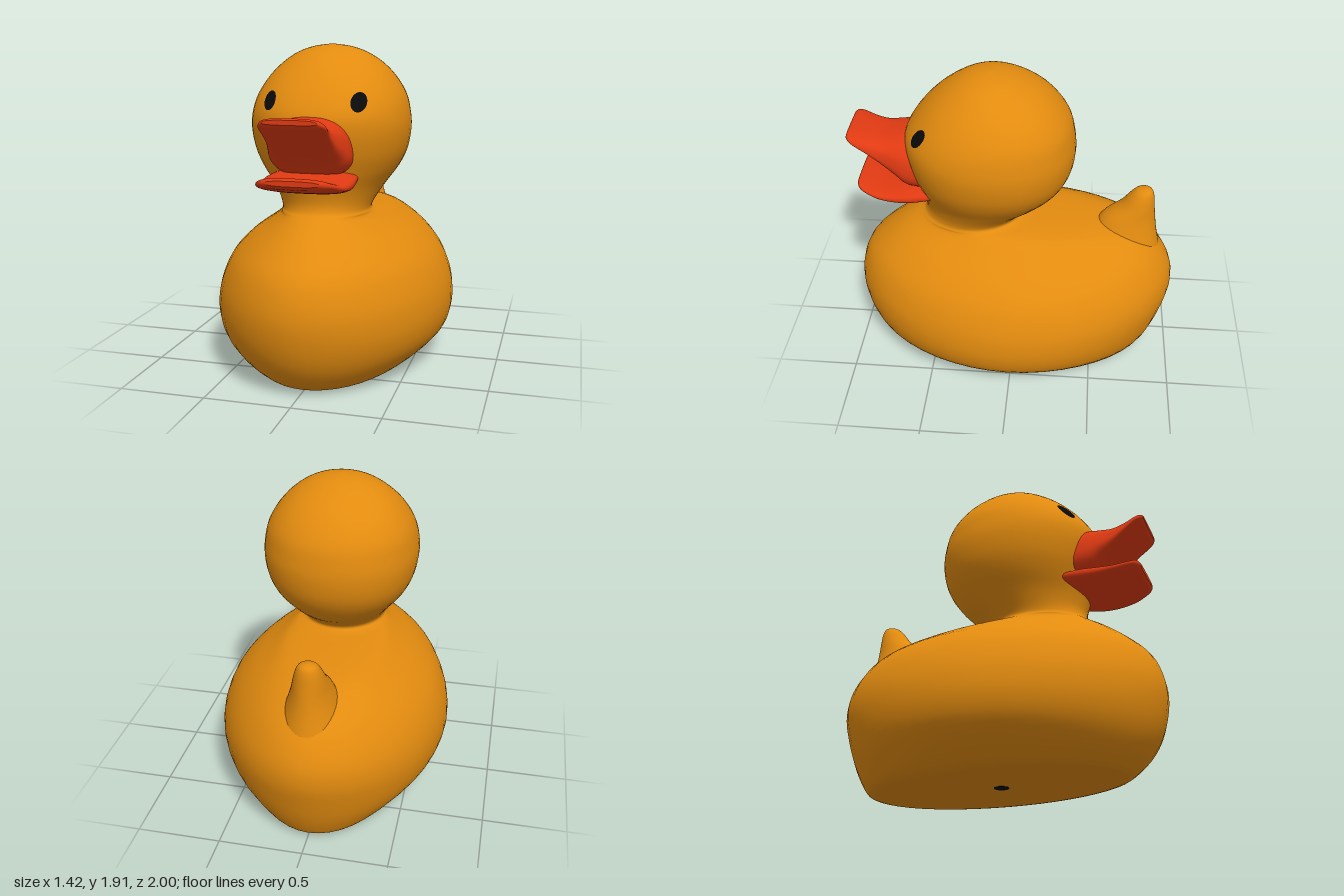
import * as THREE from 'three';

const SIDES = 48;

// Smoothly subdivides a list of section rows.
function smoothRows(rows, steps = 4) {
  const size = rows[0].length;
  const spline = new THREE.CubicInterpolant(rows.map((_, i) => i), rows.flat(), size, new Float32Array(size));
  const out = [];
  for (let i = 0; i <= (rows.length - 1) * steps; i++) out.push(Array.from(spline.evaluate(i / steps)));
  return out;
}

const power = (v, n) => Math.sign(v) * Math.abs(v) ** (2 / n);

// Skins superellipse sections. Row: [level, far side, near side, half width, exponent].
// Levels run along y (sections span z) or along z (sections span y).
function loft(rows, axis = 'y', taper = 0) {
  const pos = [], index = [];
  const put = (x, u, l) => (axis === 'y' ? pos.push(x, l, u) : pos.push(x, u, l));
  const tri = (a, b, c) => (axis === 'y' ? index.push(a, b, c) : index.push(a, c, b));
  const ring = ([l, a, b, w, n]) => {
    for (let i = 0; i < SIDES; i++) {
      const t = (i / SIDES) * Math.PI * 2;
      const s = power(Math.sin(t), n), c = power(Math.cos(t), n);
      put(w * c * (1 - taper * (s + 1) / 2), (a + b) / 2 + (a - b) / 2 * s, l);
    }
  };
  rows.forEach(ring);
  for (let r = 0; r < rows.length - 1; r++) {
    for (let i = 0; i < SIDES; i++) {
      const j = (i + 1) % SIDES, a = r * SIDES, b = a + SIDES;
      tri(a + i, b + i, a + j);
      tri(a + j, b + i, b + j);
    }
  }
  // flat end caps with their own rims
  [rows[0], rows[rows.length - 1]].forEach((row, end) => {
    const start = pos.length / 3;
    ring(row);
    put(0, (row[1] + row[2]) / 2, row[0]);
    for (let i = 0; i < SIDES; i++) {
      const a = start + i, b = start + (i + 1) % SIDES;
      if (end) tri(a, start + SIDES, b);
      else tri(a, b, start + SIDES);
    }
  });
  const g = new THREE.BufferGeometry();
  g.setAttribute('position', new THREE.Float32BufferAttribute(pos, 3));
  g.setIndex(index);
  g.computeVertexNormals();
  return g;
}

// Body, neck and head sections from the base to the crown
const BODY = smoothRows([
  [0, 0.75, -0.8, 0.42, 2],
  [0.02, 0.79, -0.845, 0.48, 2],
  [0.1, 0.88, -0.89, 0.58, 1.95],
  [0.2, 0.945, -0.93, 0.67, 1.9],
  [0.32, 0.985, -0.965, 0.708, 1.9],
  [0.45, 1.0, -0.995, 0.705, 1.9],
  [0.57, 0.98, -0.99, 0.67, 1.9],
  [0.68, 0.93, -0.945, 0.61, 1.9],
  [0.78, 0.83, -0.87, 0.51, 1.95],
  [0.86, 0.73, -0.76, 0.395, 2],
  [0.91, 0.655, -0.58, 0.325, 2],
  [0.935, 0.61, -0.3, 0.285, 2],
  [0.948, 0.585, -0.1, 0.268, 2],
  [0.97, 0.56, -0.045, 0.26, 2],
  [1.02, 0.55, -0.09, 0.28, 2],
  [1.1, 0.565, -0.2, 0.33, 2],
  [1.2, 0.59, -0.285, 0.4, 2.1],
  [1.3, 0.625, -0.335, 0.446, 2.1],
  [1.42, 0.65, -0.354, 0.467, 2.1],
  [1.52, 0.645, -0.345, 0.46, 2.1],
  [1.62, 0.59, -0.318, 0.432, 2.1],
  [1.72, 0.505, -0.248, 0.37, 2.1],
  [1.8, 0.415, -0.16, 0.293, 2],
  [1.86, 0.32, -0.045, 0.2, 2],
  [1.892, 0.235, 0.045, 0.105, 2],
  [1.905, 0.155, 0.135, 0.01, 2],
]);

// Front surface depth of the body skin at a given x and y
function frontZ(x, y) {
  const i = BODY.findIndex((r) => r[0] > y);
  const p = BODY[i - 1], q = BODY[i], t = (y - p[0]) / (q[0] - p[0]);
  const [, a, b, w, n] = p.map((v, k) => v + (q[k] - v) * t);
  return (a + b) / 2 + (a - b) / 2 * (1 - Math.abs(x / w) ** n) ** (1 / n);
}

export function createModel() {
  const group = new THREE.Group();
  const material = (name, color) => Object.assign(new THREE.MeshStandardMaterial({ color }), { name });
  const yellow = material('warm yellow', 0xe28b0f);
  const red = material('beak red', 0xe03a12);
  const black = material('black', 0x0a0a0a);
  const add = (name, geometry, mat) => {
    const mesh = new THREE.Mesh(geometry, mat);
    mesh.name = name;
    group.add(mesh);
    return mesh;
  };

  add('bodyAndHead', loft(BODY), yellow);

  // Upturned tail
  add('tail', loft(smoothRows([
    [0.74, -0.4, -0.9, 0.19, 2],
    [0.86, -0.48, -0.872, 0.145, 2],
    [0.95, -0.54, -0.858, 0.115, 2],
    [1.03, -0.635, -0.848, 0.093, 2],
    [1.1, -0.69, -0.84, 0.072, 2],
    [1.14, -0.73, -0.825, 0.048, 2],
    [1.153, -0.775, -0.79, 0.008, 2],
  ])), yellow);

  // Beak halves, from inside the head to the tip
  add('upperBeak', loft(smoothRows([
    [0.46, 1.49, 1.17, 0.25, 2.4],
    [0.62, 1.52, 1.19, 0.25, 2.5],
    [0.7, 1.508, 1.265, 0.23, 2.7],
    [0.78, 1.497, 1.34, 0.205, 3],
    [0.86, 1.51, 1.41, 0.198, 3],
    [0.92, 1.53, 1.46, 0.198, 3],
    [0.955, 1.542, 1.485, 0.185, 3],
    [0.973, 1.534, 1.508, 0.16, 3],
  ]), 'z', 0.16), red);
  add('lowerBeak', loft(smoothRows([
    [0.46, 1.22, 1.13, 0.24, 2.4],
    [0.6, 1.22, 1.105, 0.255, 2.5],
    [0.7, 1.205, 1.11, 0.256, 2.6],
    [0.8, 1.198, 1.13, 0.246, 2.6],
    [0.88, 1.215, 1.155, 0.22, 2.6],
    [0.92, 1.228, 1.168, 0.19, 2.6],
    [0.936, 1.215, 1.185, 0.15, 2.6],
  ]), 'z'), red);

  // Eyes: thin discs laid on the face
  for (const [name, side] of [['leftEye', 1], ['rightEye', -1]]) {
    const g = new THREE.CircleGeometry(1, 24);
    g.scale(0.04, 0.053, 1).rotateZ(side * 0.15).translate(side * 0.255, 1.597, 0);
    const p = g.attributes.position;
    for (let i = 0; i < p.count; i++) p.setZ(i, frontZ(p.getX(i), p.getY(i)) + 0.006);
    g.computeVertexNormals();
    add(name, g, black);
  }

  // Air hole under the base
  const hole = add('airHole', new THREE.CylinderGeometry(0.045, 0.045, 0.004, 20), black);
  hole.position.y = 0.001;

  return group;
}
